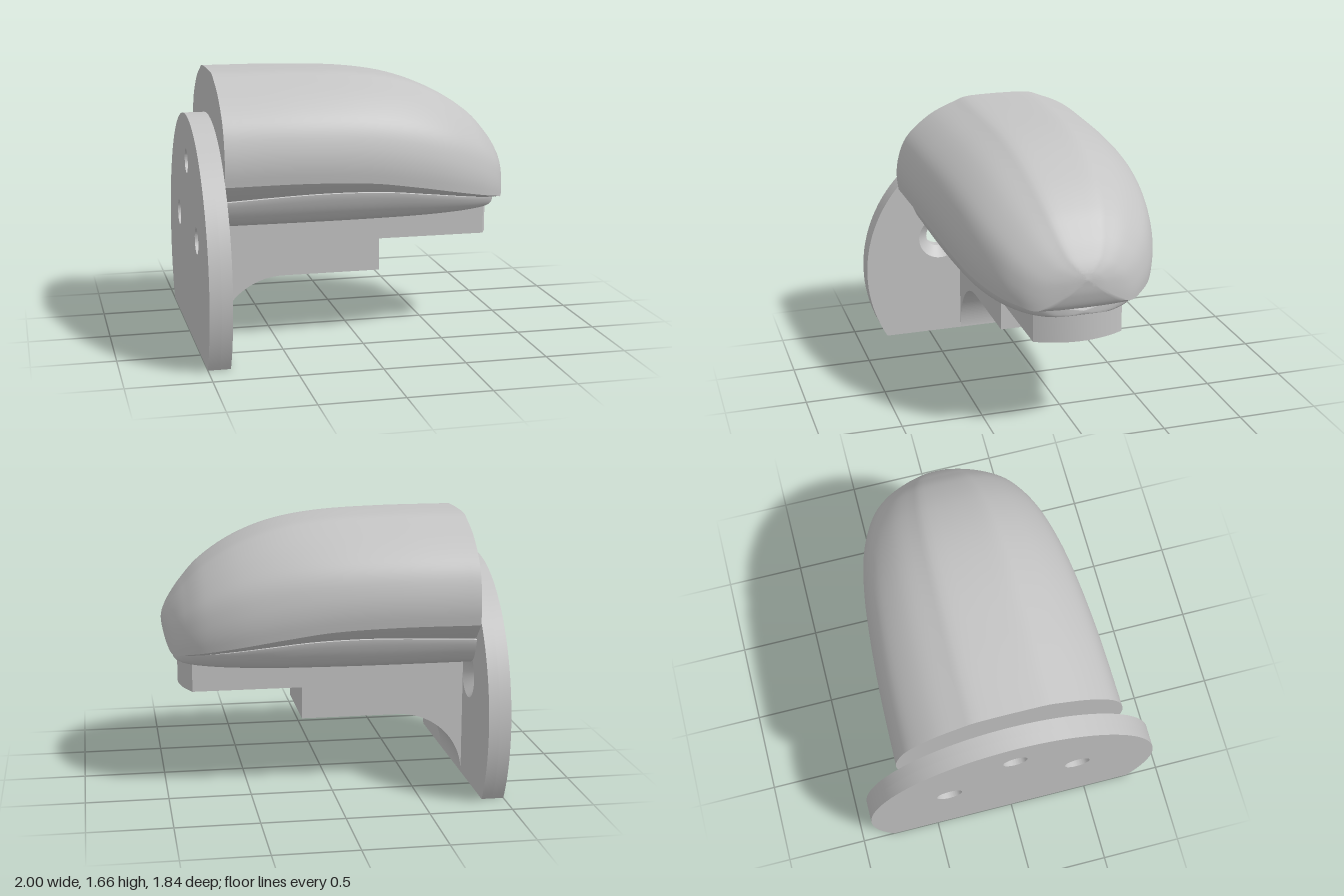
import * as THREE from 'three';
import { toCreasedNormals } from 'three/addons/utils/BufferGeometryUtils.js';

const BACK = -0.865;      // front face of the mounting plate
const HALF = 0.275;       // half width of the support block
const BORE = 0.075;

// Smoothly resample station rows [x, ...values], each column on the same parameter
function resample(rows, count) {
  const columns = rows[0].map((_, c) => new THREE.CatmullRomCurve3(
    rows.map((r) => new THREE.Vector3(r[c], 0, 0)), false, 'catmullrom'));
  return Array.from({ length: count + 1 }, (_, i) => {
    const u = i / count;
    return columns.map((col) => col.getPoint(u).x);
  });
}

// Smooth half profile sampled through a few points
const spline = (pts, n) => new THREE.SplineCurve(pts.map((p) => new THREE.Vector2(...p))).getPoints(n);

// Closed ring from a half section running top -> +z -> bottom
function mirrorRing(x, half) {
  const right = half.map(([z, y]) => [x, y, z]);
  const left = half.slice(1, -1).reverse().map(([z, y]) => [x, y, -z]);
  return [...right, ...left];
}

// Skin a list of rings
function loft(rings) {
  const n = rings[0].length;
  const index = [];
  for (let i = 0; i < rings.length - 1; i++) {
    for (let j = 0; j < n; j++) {
      const k = (j + 1) % n;
      const a = i * n + j, b = i * n + k, c = b + n, d = a + n;
      index.push(a, b, c, a, c, d);
    }
  }
  const g = new THREE.BufferGeometry();
  g.setAttribute('position', new THREE.Float32BufferAttribute(rings.flat(2), 3));
  g.setIndex(index);
  return toCreasedNormals(g, 0.6);
}

// Rounded upper housing with a blind screw hole in its rear face
function domeGeometry() {
  const stations = resample([ // x, half width, top, lower edge, underside
    [BACK, 0.695, 1.66, 1.05, 0.82], [-0.4, 0.685, 1.658, 1.05, 0.82],
    [0, 0.66, 1.64, 1.03, 0.82], [0.3, 0.625, 1.59, 0.985, 0.82],
    [0.55, 0.57, 1.495, 0.935, 0.82], [0.75, 0.485, 1.365, 0.89, 0.82],
    [0.87, 0.39, 1.24, 0.86, 0.82], [0.945, 0.28, 1.14, 0.84, 0.83],
    [0.985, 0.13, 1.07, 0.92, 0.92], [1, 0, 1.02, 1.02, 1.02],
  ], 72);
  const upper = spline([[0, 1], [0.29, 0.99], [0.43, 0.94], [0.64, 0.835], [0.83, 0.67],
    [0.93, 0.52], [0.985, 0.33], [1, 0.16], [0.985, 0]], 28);
  const under = [[0.85, 0.4], [0.5, 0.85], [0, 1]];
  const rings = stations.map(([x, w, top, edge, base]) => mirrorRing(x, [
    ...upper.map((p) => [p.x * w, edge + p.y * (top - edge)]),
    ...under.map(([a, k]) => [a * w, edge + k * (base - edge)]),
  ]));
  const cy = 1.09;
  const circle = (x, r) => rings[0].map(([, y, z]) => {
    const a = Math.atan2(z, y - cy);
    return [x, cy + r * Math.cos(a), r * Math.sin(a)];
  });
  return loft([circle(-0.5, 0), circle(-0.5, BORE), circle(BACK, BORE), ...rings]);
}

// Shallow tray below the housing
function lipGeometry() {
  const stations = resample([ // x, half width, rim height, bottom
    [BACK, 0.595, 0.945, 0.772], [-0.3, 0.6, 0.97, 0.772], [0.1, 0.585, 0.96, 0.772],
    [0.4, 0.55, 0.925, 0.772], [0.65, 0.475, 0.885, 0.772], [0.82, 0.365, 0.855, 0.772],
    [0.9, 0.25, 0.84, 0.775], [0.93, 0.12, 0.83, 0.78], [0.937, 0, 0.805, 0.805],
  ], 56);
  const inner = [[0, 0.4], [0.5, 0.5], [0.9, 0.85]];
  const outer = spline([[0.97, 0.99], [1, 0.95], [0.95, 0.5], [0.87, 0.15], [0.77, 0]], 14);
  const half = [...inner, ...outer.map((p) => [p.x, p.y]), [0, 0]];
  return loft(stations.map(([x, w, top, low]) =>
    mirrorRing(x, half.map(([a, v]) => [a * w, low + v * (top - low)]))));
}

function addHole(shape, x, y, r) {
  const path = new THREE.Path();
  path.absarc(x, y, r, 0, Math.PI * 2, true);
  shape.holes.push(path);
}

// Round plate slice with a flat foot, between two x positions
function plateSlice(x0, x1, sideRadius) {
  const s = new THREE.Shape();
  s.absarc(0, 0.46, 0.92, -Math.PI / 6, Math.PI * 7 / 6, false);
  s.closePath();
  for (const z of [-0.41, 0.41]) addHole(s, z, 0.68, sideRadius);
  addHole(s, 0, 1.09, BORE);
  const g = new THREE.ExtrudeGeometry(s, { depth: x1 - x0, bevelEnabled: false, curveSegments: 40 });
  return toCreasedNormals(g.rotateY(Math.PI / 2).translate(x0, 0, 0), 0.6);
}

// Support block layer with two vertical bores
function blockLayer(y0, y1, xEnd, bulge) {
  const s = new THREE.Shape();
  s.moveTo(BACK, -HALF);
  s.lineTo(xEnd, -HALF);
  if (bulge) s.quadraticCurveTo(xEnd + bulge * 2, 0, xEnd, HALF);
  else s.lineTo(xEnd, HALF);
  s.lineTo(BACK, HALF);
  s.closePath();
  for (const x of [-0.14, -0.58]) addHole(s, x, 0, BORE);
  const g = new THREE.ExtrudeGeometry(s, { depth: y1 - y0, bevelEnabled: false, curveSegments: 24 });
  return toCreasedNormals(g.rotateX(-Math.PI / 2).translate(0, y0, 0), 0.6);
}

// Concave fillet under the block, cut by the counterbore of the rear screw
function filletGeometry() {
  const pos = [];
  const quad = (a, b, c, d) => pos.push(...a, ...b, ...c, ...a, ...c, ...d);
  const R = 0.4, xc = -0.45, cut = 0.145, steps = 48;
  const at = (i) => {
    const a = (i / steps) * Math.PI / 2;
    const x = xc - 0.415 * Math.cos(a);
    return { x, y: R * Math.sin(a), h: Math.sqrt(Math.max(0, cut * cut - (x + 0.58) ** 2)) };
  };
  for (let i = 0; i < steps; i++) {
    const p = at(i), q = at(i + 1);
    for (const s of [1, -1]) {
      const o = s * HALF;
      quad([p.x, p.y, p.h * s], [q.x, q.y, q.h * s], [q.x, q.y, o], [p.x, p.y, o]);
      quad([p.x, p.y, o], [q.x, q.y, o], [q.x, R, o], [p.x, R, o]);
      if (p.h + q.h > 0) {
        quad([p.x, p.y, p.h * s], [q.x, q.y, q.h * s], [q.x, R, q.h * s], [p.x, R, p.h * s]);
      }
    }
  }
  const g = new THREE.BufferGeometry();
  g.setAttribute('position', new THREE.Float32BufferAttribute(pos, 3));
  g.computeVertexNormals();
  return g;
}

export function createModel() {
  const model = new THREE.Group();
  const grey = new THREE.MeshStandardMaterial({ color: 0xc4c4c4, side: THREE.DoubleSide });
  grey.name = 'grey';
  const add = (name, geometry) => {
    const mesh = new THREE.Mesh(geometry, grey);
    mesh.name = name;
    model.add(mesh);
  };

  // Mounting plate with countersunk screw holes
  const seat = -0.93;
  add('plateRear', plateSlice(-1, seat, 0.08));
  add('plateFront', plateSlice(seat, BACK, 0.145));
  for (const z of [-0.41, 0.41]) {
    const cone = new THREE.CylinderGeometry(0.145, 0.08, BACK - seat, 48, 1, true);
    add('countersink', cone.rotateZ(-Math.PI / 2).translate((BACK + seat) / 2, 0.68, z));
  }

  // Stepped support arm
  add('supportUpper', blockLayer(0.6, 0.775, 0.83, 0.073));
  add('supportLower', blockLayer(0.4, 0.6, 0.155, 0));
  add('supportFillet', filletGeometry());

  // Housing and tray
  add('lowerTray', lipGeometry());
  add('upperHousing', domeGeometry());
  return model;
}
